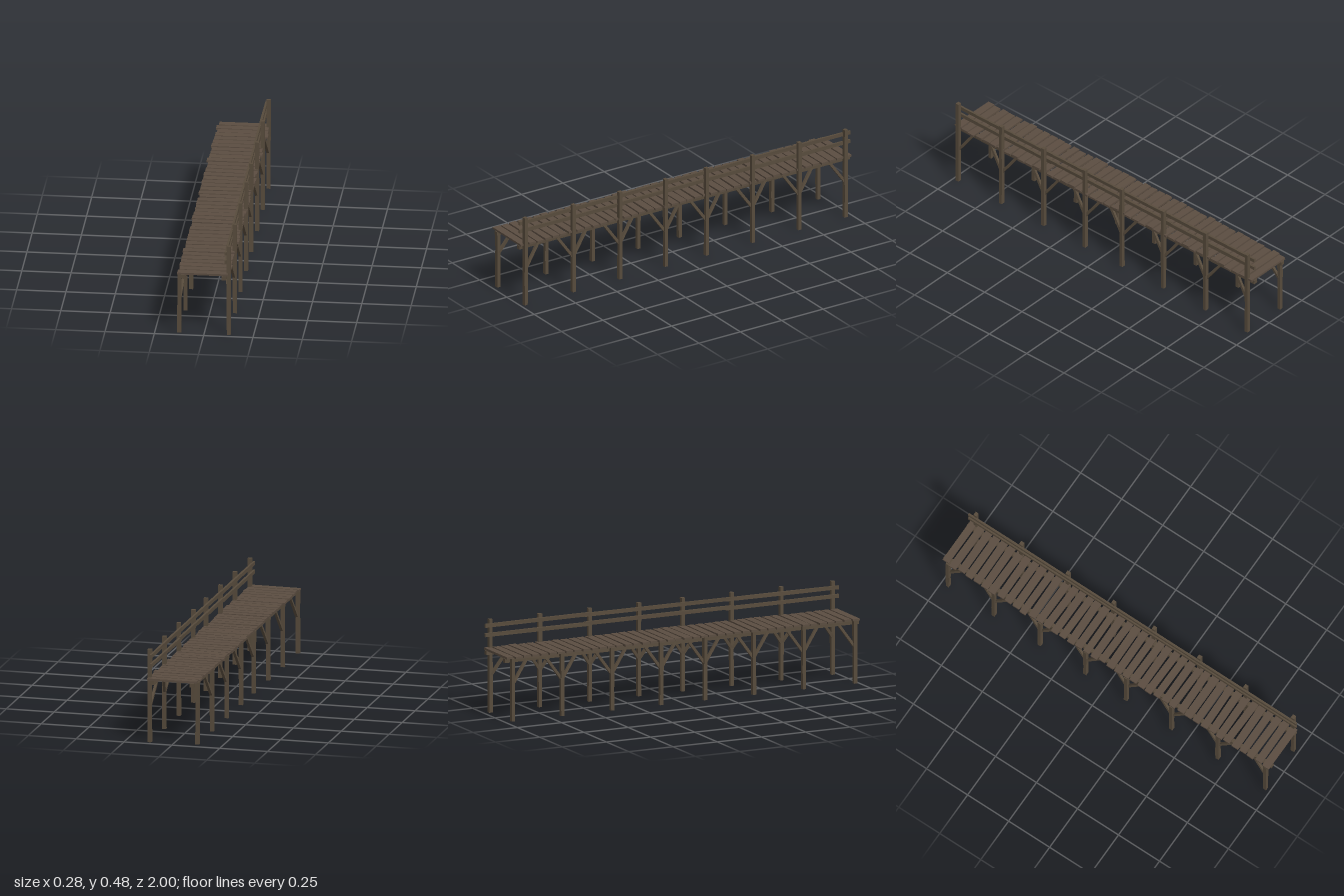
import * as THREE from 'three';

export function createModel() {
  const model = new THREE.Group();
  const mat = (name, color) => {
    const m = new THREE.MeshStandardMaterial({ color });
    m.name = name;
    return m;
  };
  const deckWood = mat('deck wood', 0x5b4d41);
  const frameWood = mat('frame wood', 0x574b3c);

  // Small seeded generator for hand-cut irregularity, range -1..1
  let seed = 11;
  const rand = () => {
    seed = (seed * 16807) % 2147483647;
    return (seed / 2147483647) * 2 - 1;
  };

  // Rough-sawn timber: a box whose rings of corners wander slightly along its length (y)
  function timber(name, material, width, length, depth, wobble, segments = 1) {
    const box = new THREE.BoxGeometry(width, length, depth, 1, segments, 1);
    const p = box.attributes.position;
    const shifts = new Map();
    for (let i = 0; i < p.count; i++) {
      const key = [p.getX(i), p.getY(i), p.getZ(i)].map((v) => v.toFixed(4)).join();
      if (!shifts.has(key)) shifts.set(key, [rand() * wobble, rand() * wobble]);
      const [dx, dz] = shifts.get(key);
      p.setX(i, p.getX(i) + dx);
      p.setZ(i, p.getZ(i) + dz);
    }
    const geometry = box.toNonIndexed();
    geometry.computeVertexNormals();
    const mesh = new THREE.Mesh(geometry, material);
    mesh.name = name;
    model.add(mesh);
    return mesh;
  }

  // Timber running between two points
  function span(name, a, b, width, depth, wobble, segments) {
    const from = new THREE.Vector3(...a), to = new THREE.Vector3(...b);
    const mesh = timber(name, frameWood, width, from.distanceTo(to), depth, wobble, segments);
    mesh.position.copy(from).add(to).multiplyScalar(0.5);
    mesh.quaternion.setFromUnitVectors(new THREE.Vector3(0, 1, 0), to.sub(from).normalize());
    return mesh;
  }

  const postZ = [0.972, 0.682, 0.4, 0.124, -0.124, -0.402, -0.684, -0.963];

  for (const side of [-1, 1]) {
    const sideName = side > 0 ? 'left' : 'right';
    const x = side * 0.125;

    postZ.forEach((z, i) => {
      // Tall posts carry the railing, short posts stop under the deck
      const top = side > 0 ? 0.483 : 0.328;
      const foot = side > 0 ? 0 : 0.004;
      span(sideName + 'Post', [x, foot, z], [x, top, z], 0.02, 0.019, 0.001, 3);

      // Diagonal braces, only inward at the two ends
      for (const dir of [-1, 1]) {
        if ((i === 0 && dir > 0) || (i === postZ.length - 1 && dir < 0)) continue;
        span(sideName + 'Brace', [x * 0.97, 0.196, z + dir * 0.003],
          [x * 0.86, 0.315, z + dir * 0.087], 0.013, 0.014, 0.0005);
      }
    });

    // Long beam under the deck
    span(sideName + 'Beam', [side * 0.103, 0.316, -1], [side * 0.103, 0.316, 1],
      0.022, 0.02, 0.001, 6);
  }

  // Two rails on the inner face of the tall posts, each in three overlapping lengths
  for (const y of [0.407, 0.453]) {
    const ends = [1, 0.39, -0.41, -1];
    for (let i = 0; i < 3; i++) {
      span('rail', [0.111, y + rand() * 0.003, ends[i]],
        [0.111, y + rand() * 0.003, ends[i + 1] - (i < 2 ? 0.03 : 0)], 0.011, 0.019, 0.0007, 2);
    }
  }

  // Uneven deck planks
  const count = 42;
  const pitch = 1.955 / (count - 1);
  for (let i = 0; i < count; i++) {
    const plank = timber('plank', deckWood, 0.011, 0.262 + rand() * 0.007, 0.038 + rand() * 0.003, 0.0008);
    plank.rotation.order = 'YXZ';
    plank.rotation.set(0, rand() * 0.025, Math.PI / 2);
    plank.position.set(rand() * 0.004 - 0.002, 0.332 + rand() * 0.0008, -0.9775 + i * pitch);
  }

  return model;
}
